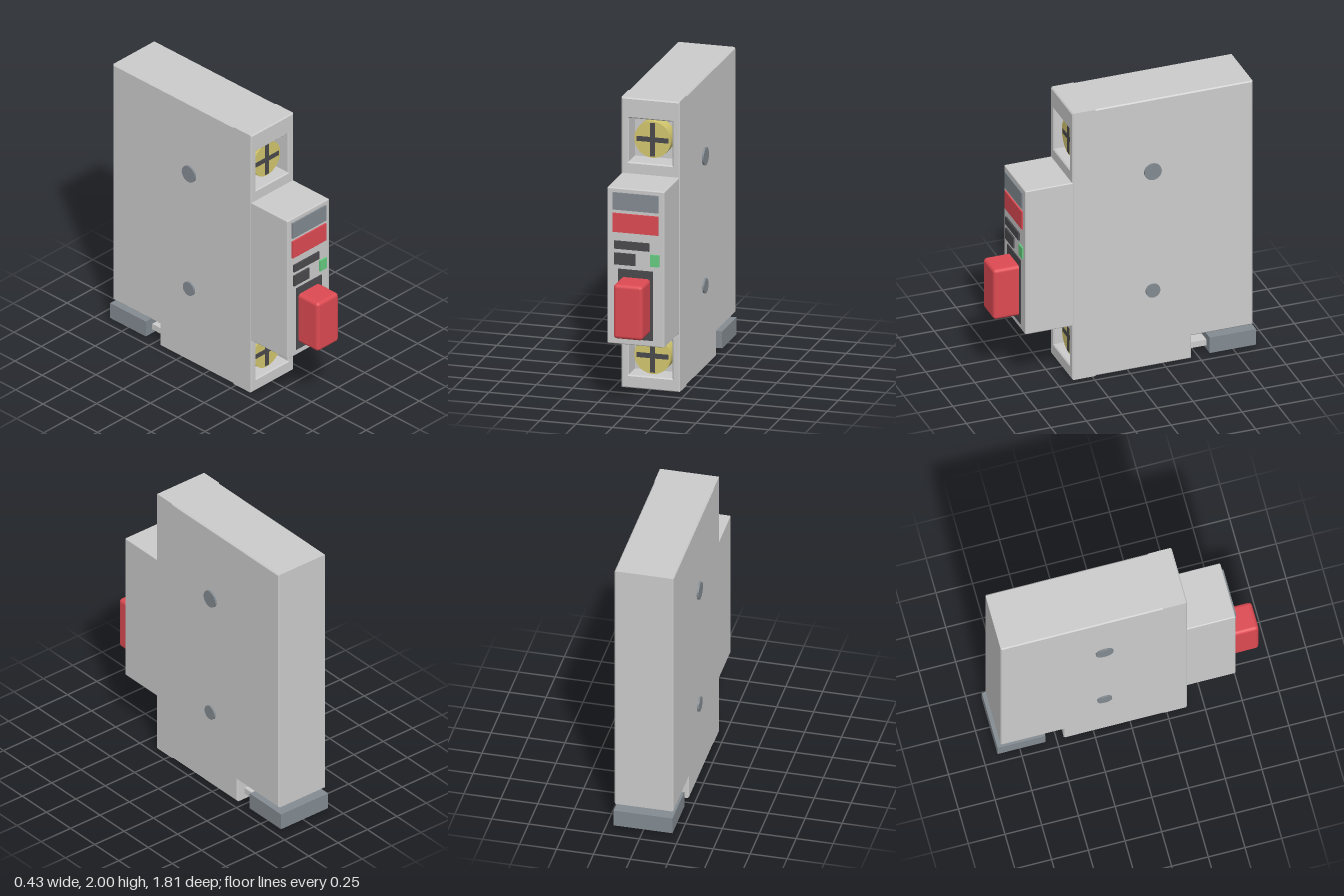
import * as THREE from 'three';
import { RoundedBoxGeometry } from 'three/addons/geometries/RoundedBoxGeometry.js';

const mat = (color) => new THREE.MeshStandardMaterial({ color });
const grey = mat(0xcccccc);
const slate = mat(0x838b91);
const dark = mat(0x4a4a4e);
const red = mat(0xdd4a52);
const green = mat(0x66cc80);
const brass = mat(0xd2c66e);

const BEVEL = 0.008;

function add(parent, name, geometry, material, x = 0, y = 0, z = 0) {
  const mesh = new THREE.Mesh(geometry, material);
  mesh.name = name;
  mesh.position.set(x, y, z);
  parent.add(mesh);
  return mesh;
}

// Box given by its extents on each axis
function box(parent, name, material, [x0, x1], [y0, y1], [z0, z1], radius = 0) {
  const size = [x1 - x0, y1 - y0, z1 - z0];
  const geometry = radius
    ? new RoundedBoxGeometry(...size, 4, radius)
    : new THREE.BoxGeometry(...size);
  return add(parent, name, geometry, material, (x0 + x1) / 2, (y0 + y1) / 2, (z0 + z1) / 2);
}

function polygon(points, Type = THREE.Shape) {
  return new Type(points.map(([x, y]) => new THREE.Vector2(x, y)));
}

const rect = (x0, x1, y0, y1) => [[x0, y0], [x1, y0], [x1, y1], [x0, y1]];

// Extrusion with chamfered edges that stays inside its outline
function bevelled(shape, depth) {
  const geometry = new THREE.ExtrudeGeometry(shape, {
    depth: depth - 2 * BEVEL,
    bevelEnabled: true,
    bevelSize: BEVEL,
    bevelThickness: BEVEL,
    bevelOffset: -BEVEL,
    bevelSegments: 1,
  });
  return geometry.translate(0, 0, BEVEL);
}

function terminalScrew(parent, name, y) {
  const screw = new THREE.Group();
  screw.name = name;
  screw.position.set(0, y, 0);
  parent.add(screw);
  const head = new THREE.CylinderGeometry(0.125, 0.125, 0.11, 40).rotateX(Math.PI / 2);
  add(screw, 'screwHead', head, brass, 0, 0, 0.285);
  box(screw, 'slotAcross', dark, [-0.108, 0.108], [-0.017, 0.017], [0.33, 0.343]);
  box(screw, 'slotUpright', dark, [-0.017, 0.017], [-0.115, 0.115], [0.33, 0.344]);
}

export function createModel() {
  const model = new THREE.Group();
  model.name = 'railModule';

  // Housing: side profile (-z, y) with the rail clip notch, extruded across x
  const profile = polygon([
    [-0.24, 0], [0.45, 0], [0.45, 0.17], [0.88, 0.17], [0.88, 2], [-0.24, 2],
  ]);
  const housing = bevelled(profile, 0.4).rotateY(Math.PI / 2).translate(-0.2, 0, 0);
  add(model, 'housing', housing, grey);

  // Front frame with the two terminal wells
  const frame = polygon(rect(-0.2, 0.2, 0, 2));
  for (const [y0, y1] of [[0.09, 0.352], [1.558, 1.86]]) {
    frame.holes.push(polygon(rect(-0.15, 0.15, y0, y1).reverse(), THREE.Path));
  }
  add(model, 'terminalFrame', bevelled(frame, 0.17), grey, 0, 0, 0.22);
  terminalScrew(model, 'upperScrew', 1.71);
  terminalScrew(model, 'lowerScrew', 0.22);

  // Raised control block
  box(model, 'controlBlock', grey, [-0.197, 0.197], [0.405, 1.48], [0.37, 0.72], 0.008);

  // Face plates and indicator
  const plates = [
    ['labelPlate', slate, [-0.158, 0.158], [1.332, 1.45]],
    ['redPlate', red, [-0.158, 0.158], [1.178, 1.308]],
    ['longMark', dark, [-0.145, 0.095], [1.063, 1.118]],
    ['shortMark', dark, [-0.145, 0], [0.955, 1.035]],
    ['indicator', green, [0.1, 0.162], [0.96, 1.042]],
  ];
  for (const [name, material, xs, ys] of plates) {
    box(model, name, material, xs, ys, [0.71, 0.731]);
  }

  // Switch
  box(model, 'switchSurround', dark, [-0.12, 0.12], [0.448, 0.925], [0.71, 0.726]);
  box(model, 'switchLever', red, [-0.101, 0.101], [0.497, 0.872], [0.67, 0.905], 0.025);

  // Rivets, both sides
  for (const side of [-1, 1]) {
    for (const [y, r] of [[1.46, 0.06], [0.567, 0.05]]) {
      const rivet = new THREE.CylinderGeometry(r, r, 0.03, 32).rotateZ(Math.PI / 2);
      add(model, 'rivet', rivet, slate, side * 0.198, y, -0.175);
    }
  }

  // Rail clip under the notch
  box(model, 'clipStem', grey, [-0.14, 0.14], [0.042, 0.085], [-0.6, -0.43]);
  box(model, 'clipFoot', slate, [-0.2, 0.2], [0.014, 0.13], [-0.903, -0.577]);

  return model;
}
